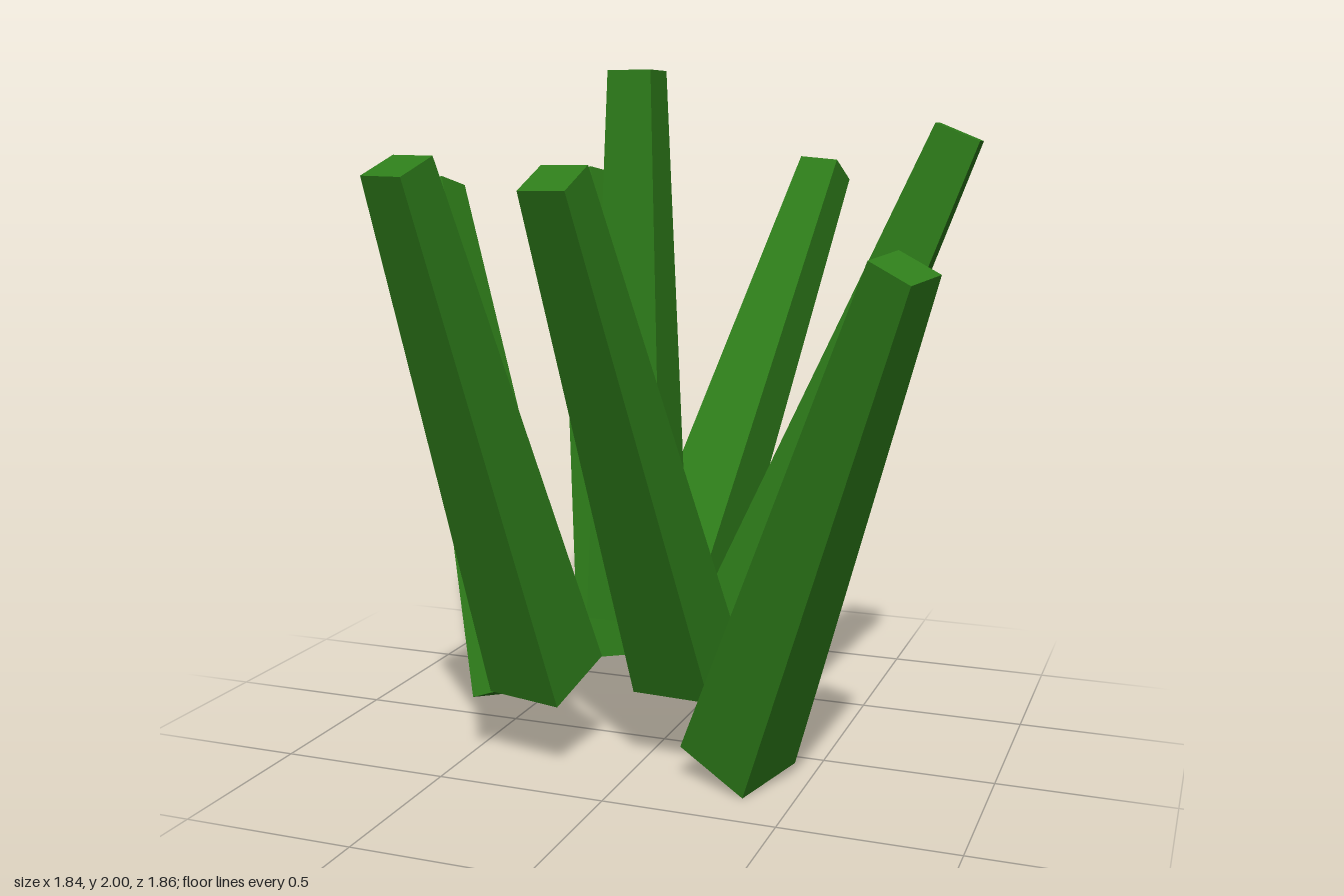
import * as THREE from 'three';

// Each blade: centre of its foot, centre of its tip, direction of one foot edge (sets the roll)
const BLADES = [
  { name: 'centreBlade', foot: [-0.083, 0.4, 0], tip: [-0.083, 2, 0], edge: [1, 0, 0] },
  { name: 'rightBackBlade', foot: [-0.01, 0.34, -0.08], tip: [0.25, 1.72, -0.87], edge: [0.12, -0.005, 0.02] },
  { name: 'backLeaningBlade', foot: [-0.22, 0.165, -0.275], tip: [-0.52, 1.69, -0.665], edge: [0.12, 0.03, 0.03] },
  { name: 'rightSideBlade', foot: [-0.35, 0.2, 0.22], tip: [-0.855, 1.66, -0.22], edge: [0.125, 0.045, 0.005] },
  { name: 'frontRightBlade', foot: [-0.27, 0.265, 0.265], tip: [-0.385, 1.745, 0.86], edge: [0.12, -0.005, 0.025] },
  { name: 'frontBlade', foot: [0.125, 0.29, 0.15], tip: [0.035, 1.717, 0.86], edge: [0.125, 0, 0.012] },
  { name: 'frontLeftBlade', foot: [0.3, 0.07, 0.205], tip: [0.84, 1.515, 0.64], edge: [0.21, -0.095, 0.07] },
  { name: 'leftSideBlade', foot: [0.22, 0.35, -0.02], tip: [0.83, 1.825, -0.075], edge: [0.12, -0.05, -0.01] },
];
const LENGTH = 1.6, FOOT_HALF = 0.12, TIP_HALF = 0.065;

export function createModel() {
  const group = new THREE.Group();
  group.name = 'grassTuft';
  const material = new THREE.MeshStandardMaterial({ color: 0x2e7d1a, flatShading: true });

  // Square tapered blade, standing on its foot
  const geometry = new THREE.CylinderGeometry(TIP_HALF * Math.SQRT2, FOOT_HALF * Math.SQRT2, LENGTH, 4, 1);
  geometry.rotateY(Math.PI / 4);
  geometry.translate(0, LENGTH / 2, 0);

  for (const { name, foot, tip, edge } of BLADES) {
    const base = new THREE.Vector3(...foot);
    const up = new THREE.Vector3(...tip).sub(base).normalize();
    const side = new THREE.Vector3(...edge).projectOnPlane(up).normalize();
    const front = new THREE.Vector3().crossVectors(side, up);

    const blade = new THREE.Mesh(geometry, material);
    blade.name = name;
    blade.position.copy(base);
    blade.quaternion.setFromRotationMatrix(new THREE.Matrix4().makeBasis(side, up, front));
    group.add(blade);
  }
  return group;
}
